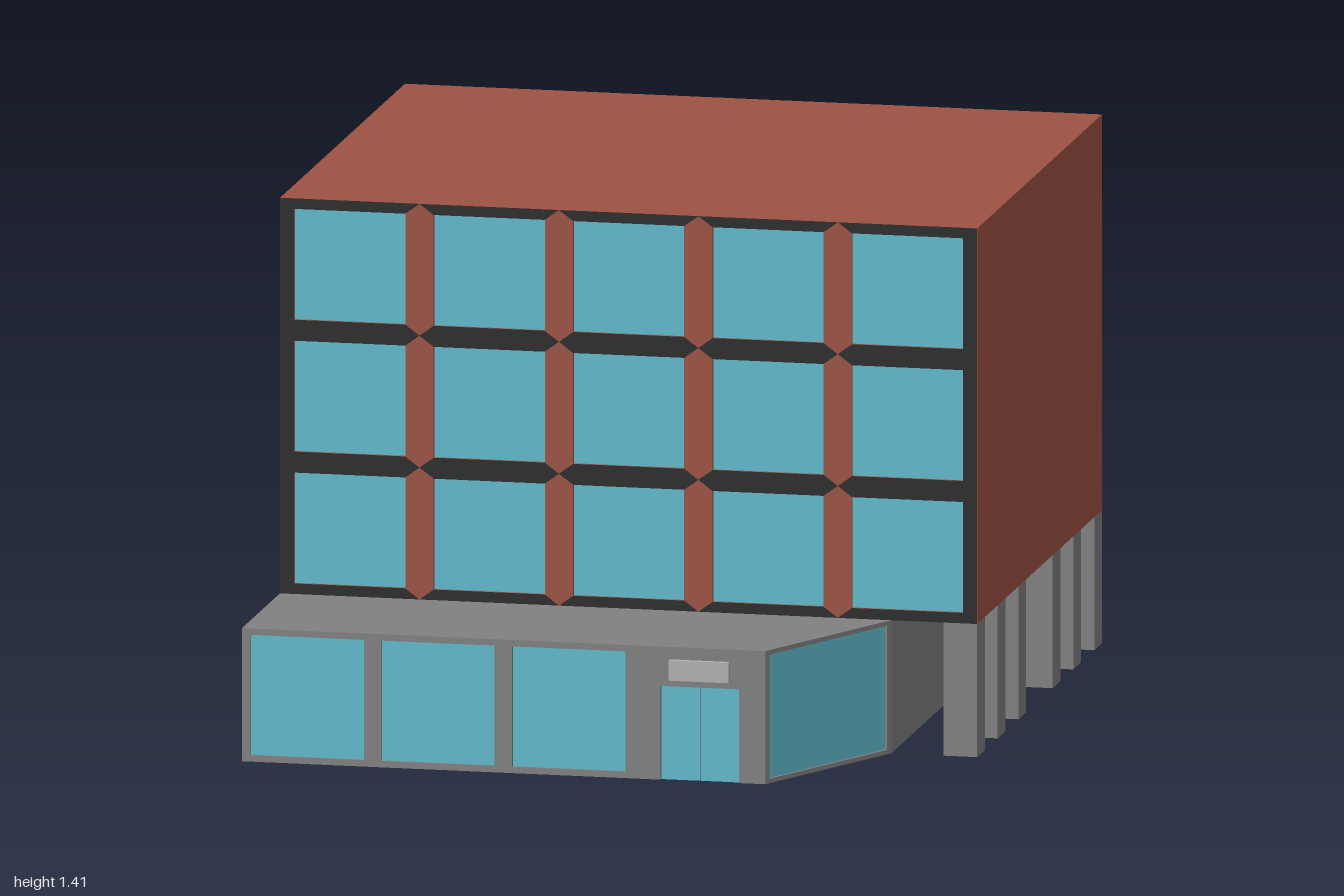
import * as THREE from 'three';

const mat = (color) => new THREE.MeshStandardMaterial({ color });
const brick = mat(0x9c5243), concrete = mat(0x808080), dark = mat(0x2b2b2b);
const glass = mat(0x5fb9ca), plate = mat(0xb0b0b0);

const L = -0.935, R = 0.93, INNER = 0.70;    // left side, right side, recessed ground-floor wall
const BACK = -1, FRONT = 0.52, ANNEX = 0.985; // depths
const FLOOR = 0.355, TOP = 1.41;              // overhang and roof heights
const RECESS = 0.01;                          // depth of glass behind the wall face

const polygon = (pts) => new THREE.Shape(pts.map(([x, y]) => new THREE.Vector2(x, y)));
const rect = ([x0, x1, y0, y1]) => [[x0, y0], [x1, y0], [x1, y1], [x0, y1]];

function add(parent, name, geometry, material) {
  const mesh = new THREE.Mesh(geometry, material);
  mesh.name = name;
  parent.add(mesh);
  return mesh;
}

function box(parent, name, x0, x1, y0, y1, z0, z1, material) {
  const mesh = add(parent, name, new THREE.BoxGeometry(x1 - x0, y1 - y0, z1 - z0), material);
  mesh.position.set((x0 + x1) / 2, (y0 + y1) / 2, (z0 + z1) / 2);
  return mesh;
}

// Flat pane whose back lies at the bottom of the recess
function pane(parent, name, [x0, x1, y0, y1], z) {
  box(parent, name, x0, x1, y0, y1, z - RECESS - 0.002, z - RECESS + 0.002, glass);
}

// Wall skin with its outer face at z, pierced by recessed windows
function windowWall(parent, name, outline, windows, z, material) {
  const shape = polygon(outline);
  windows.forEach((w) => shape.holes.push(polygon(rect(w).reverse())));
  const geometry = new THREE.ExtrudeGeometry(shape, { depth: RECESS, bevelEnabled: false });
  add(parent, name, geometry, material).position.z = z - RECESS;
  windows.forEach((w) => pane(parent, name + 'Glass', w, z));
}

function buildUpperFloors(group) {
  box(group, 'upperBody', L, R, FLOOR, TOP, BACK, FRONT - RECESS, brick);

  // Facade grid, five bays by three storeys
  const cols = 5, rows = 3, cw = (R - L) / cols, ch = (TOP - FLOOR) / rows;
  const mx = 0.038, my = 0.028, windows = [];
  const trim = (pts) => {
    add(group, 'facadeTrim', new THREE.ShapeGeometry(polygon(pts)), dark).position.z = FRONT + 0.001;
  };
  for (let r = 0; r < rows; r++) {
    for (let c = 0; c < cols; c++) {
      const x0 = L + c * cw, x1 = x0 + cw, y0 = FLOOR + r * ch, y1 = y0 + ch;
      const a = x0 + mx, b = x1 - mx, d = y0 + my, e = y1 - my;
      windows.push([a, b, d, e]);
      // Mitred dark bands; the inner uprights stay brick
      trim([[x0, y0], [x1, y0], [b, d], [a, d]]);
      trim([[a, e], [b, e], [x1, y1], [x0, y1]]);
      if (c === 0) trim([[x0, y0], [a, d], [a, e], [x0, y1]]);
      if (c === cols - 1) trim([[x1, y0], [x1, y1], [b, e], [b, d]]);
    }
  }
  windowWall(group, 'facade', rect([L, R, FLOOR, TOP]), windows, FRONT, brick);
}

function buildGroundFloor(group) {
  // Brick base with a concrete wall under the overhang
  box(group, 'groundFloor', L, INNER, 0, FLOOR, BACK, FRONT,
    [concrete, brick, brick, brick, brick, brick]);

  // Columns along the overhang
  for (const z of [0.475, 0.225, -0.03, -0.445, -0.695, -0.952]) {
    box(group, 'column', 0.84, R, 0, FLOOR, z - 0.046, z + 0.046, concrete);
  }
}

function buildAnnex(group) {
  const corner = 0.465;

  // Core, set back behind the wall skins; plan is drawn as (x, -z)
  const plan = [[L, -ANNEX + RECESS], [corner - 0.006, -ANNEX + RECESS], [INNER - 0.011, -FRONT], [L, -FRONT]];
  const core = new THREE.ExtrudeGeometry(polygon(plan), { depth: FLOOR, bevelEnabled: false });
  core.rotateX(-Math.PI / 2);
  add(group, 'annexBody', core, concrete);

  // Front wall with three windows and a door opening
  const [d0, d1, doorTop] = [0.185, 0.395, 0.25], mid = (d0 + d1) / 2;
  const outline = [[L, 0], [d0, 0], [d0, doorTop], [d1, doorTop], [d1, 0], [corner, 0], [corner, FLOOR], [L, FLOOR]];
  const windows = [-0.912, -0.562, -0.212].map((x) => [x, x + 0.303, 0.017, 0.338]);
  windowWall(group, 'annexFront', outline, windows, ANNEX, concrete);
  pane(group, 'leftDoor', [mid + 0.001, d1, 0, doorTop], ANNEX);
  pane(group, 'rightDoor', [d0, mid - 0.001, 0, doorTop], ANNEX);

  // Blank plate above the door
  box(group, 'doorPlate', 0.21, 0.37, 0.268, 0.322, ANNEX - 0.002, 1, plate);

  // Slanted wall with one large window
  const dx = INNER - corner, dz = ANNEX - FRONT, len = Math.hypot(dx, dz);
  const slant = new THREE.Group();
  slant.name = 'slantedWall';
  slant.position.set(corner, 0, ANNEX);
  slant.rotation.y = Math.atan2(dz, dx);
  windowWall(slant, 'slantedWindow', rect([0, len, 0, FLOOR]), [[0.017, len - 0.017, 0.012, FLOOR - 0.012]], 0, concrete);
  group.add(slant);
}

export function createModel() {
  const model = new THREE.Group();
  model.name = 'building';
  for (const [name, build] of [['upperFloors', buildUpperFloors], ['base', buildGroundFloor], ['annex', buildAnnex]]) {
    const part = new THREE.Group();
    part.name = name;
    build(part);
    model.add(part);
  }
  return model;
}
